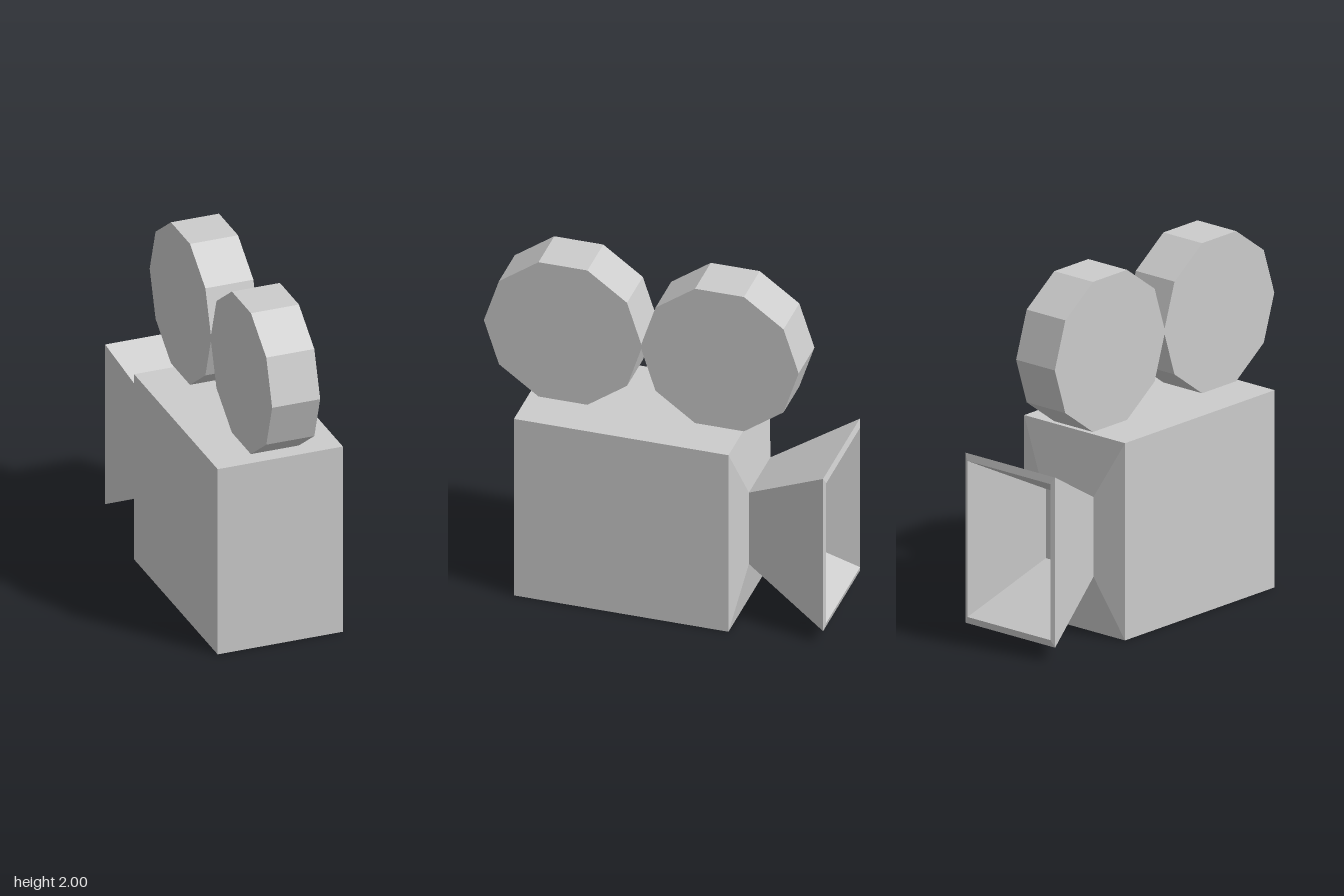
import * as THREE from 'three';

const material = new THREE.MeshStandardMaterial({ color: 0xcccccc, flatShading: true });

// Skin over rectangular sections [halfWidth, bottom, top, z], with optional end caps
function loftRects(sections, capStart, capEnd) {
  const positions = [];
  const index = [];
  for (const [w, y0, y1, z] of sections) {
    positions.push(-w, y0, z, w, y0, z, w, y1, z, -w, y1, z);
  }
  for (let s = 0; s < sections.length - 1; s++) {
    for (let i = 0; i < 4; i++) {
      const a = s * 4 + i;
      const b = s * 4 + (i + 1) % 4;
      index.push(a, b + 4, b, a, a + 4, b + 4);
    }
  }
  const e = (sections.length - 1) * 4;
  if (capStart) index.push(0, 1, 2, 0, 2, 3);
  if (capEnd) index.push(e, e + 2, e + 1, e, e + 3, e + 2);
  const indexed = new THREE.BufferGeometry();
  indexed.setAttribute('position', new THREE.Float32BufferAttribute(positions, 3));
  indexed.setIndex(index);
  const geometry = indexed.toNonIndexed();
  geometry.computeVertexNormals();
  return geometry;
}

export function createModel() {
  const group = new THREE.Group();
  const add = (name, geometry) => {
    const mesh = new THREE.Mesh(geometry, material);
    mesh.name = name;
    group.add(mesh);
    return mesh;
  };

  // Box body, tapering to the lens mount
  add('cameraBody', loftRects([
    [0.365, 0, 1.125, 0.755],
    [0.365, 0, 1.125, -0.465],
    [0.19, 0.34, 0.795, -0.525],
  ], true, true));

  // Flared, hollow hood: outer wall, sloped rim, inner wall
  add('lensHood', loftRects([
    [0.19, 0.34, 0.795, -0.525],
    [0.325, 0.08, 1.05, -0.99],
    [0.3, 0.12, 1.01, -1],
    [0.155, 0.37, 0.765, -0.525],
  ], false, false));

  // Two ten-sided film reels
  const reel = new THREE.CylinderGeometry(0.45, 0.45, 0.28, 10).rotateZ(Math.PI / 2);
  add('frontReel', reel).position.set(-0.005, 1.572, 0.55);
  add('backReel', reel).position.set(-0.005, 1.572, -0.34);

  return group;
}
